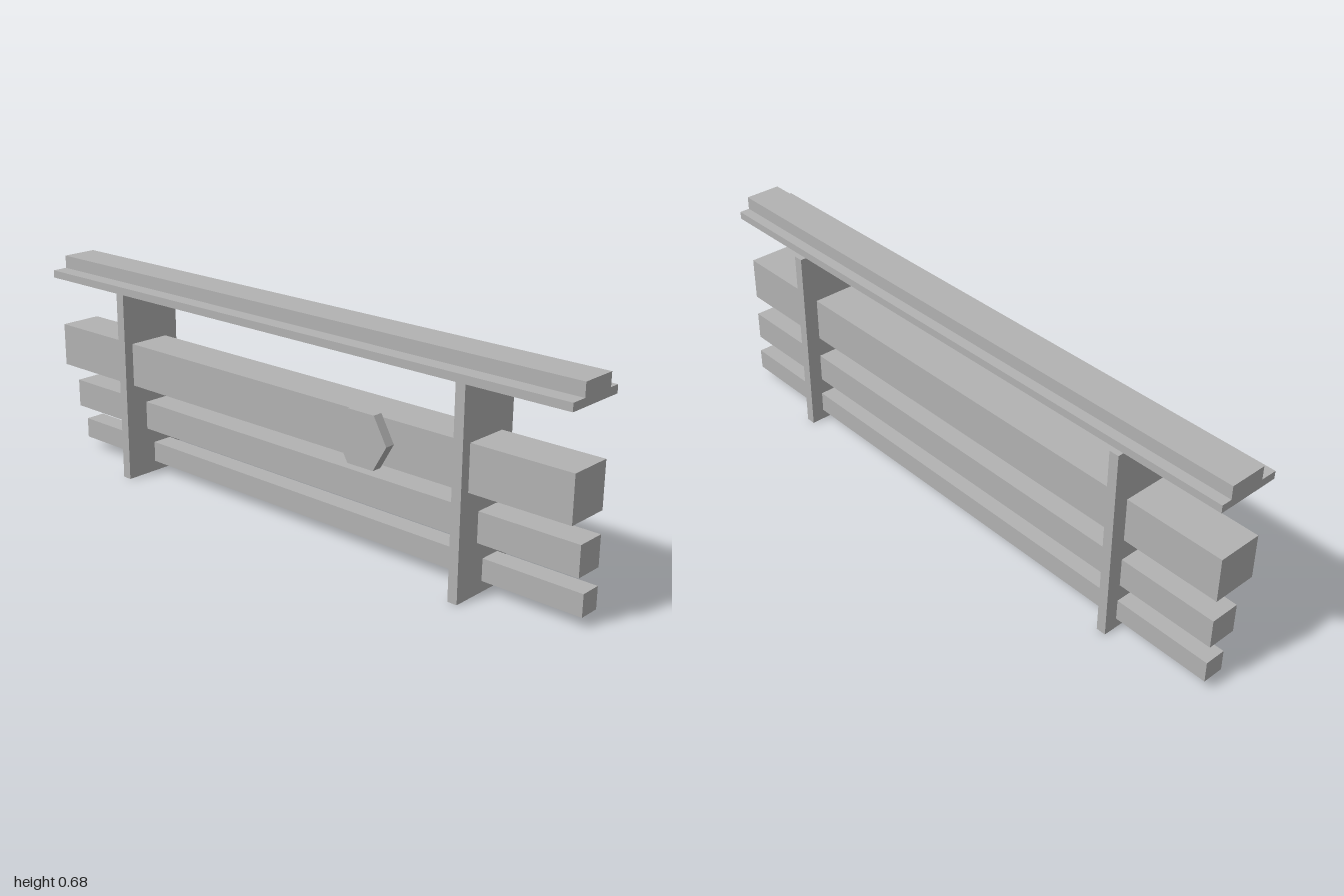
import * as THREE from 'three';

const LENGTH = 2;

export function createModel() {
  const model = new THREE.Group();
  model.name = 'railFence';
  const grey = new THREE.MeshStandardMaterial({ color: 0xb2b2b2 });
  grey.name = 'plain grey';

  const add = (name, geometry) => {
    const mesh = new THREE.Mesh(geometry, grey);
    mesh.name = name;
    model.add(mesh);
    return mesh;
  };

  // Box given by its x and y limits, its depth and its centre in z
  const bar = (name, x0, x1, y0, y1, depth = LENGTH, z = 0) =>
    add(name, new THREE.BoxGeometry(x1 - x0, y1 - y0, depth))
      .position.set((x0 + x1) / 2, (y0 + y1) / 2, z);

  // Three long beams, smaller towards the ground
  bar('upperBeam', -0.078, 0.0615, 0.314, 0.453);
  bar('middleBeam', -0.029, 0.0633, 0.155, 0.247);
  bar('lowerBeam', 0, 0.067, 0.0335, 0.1005);

  // Upright plates carrying the beams
  for (const [name, side] of [['frontPost', 1], ['backPost', -1]]) {
    bar(name, -0.109, 0.109, 0, 0.618, 0.031, side * 0.667);
  }

  // Stepped top rail, extruded along its length
  const profile = new THREE.Shape([
    [-0.109, 0.618], [0.091, 0.618], [0.091, 0.642], [0.058, 0.642],
    [0.058, 0.683], [-0.058, 0.683], [-0.058, 0.642], [-0.109, 0.642],
  ].map(([x, y]) => new THREE.Vector2(x, y)));
  const rail = new THREE.ExtrudeGeometry(profile, { depth: LENGTH, bevelEnabled: false });
  add('topRail', rail.translate(0, 0, -LENGTH / 2));

  // Hexagonal boss on the side of the upper beam, flat edges up and down
  const boss = new THREE.CylinderGeometry(0.0924, 0.0924, 0.032, 6).toNonIndexed();
  boss.computeVertexNormals();
  boss.rotateZ(Math.PI / 2);
  add('hexBoss', boss).position.set(-0.094, 0.384, 0.337);

  return model;
}
